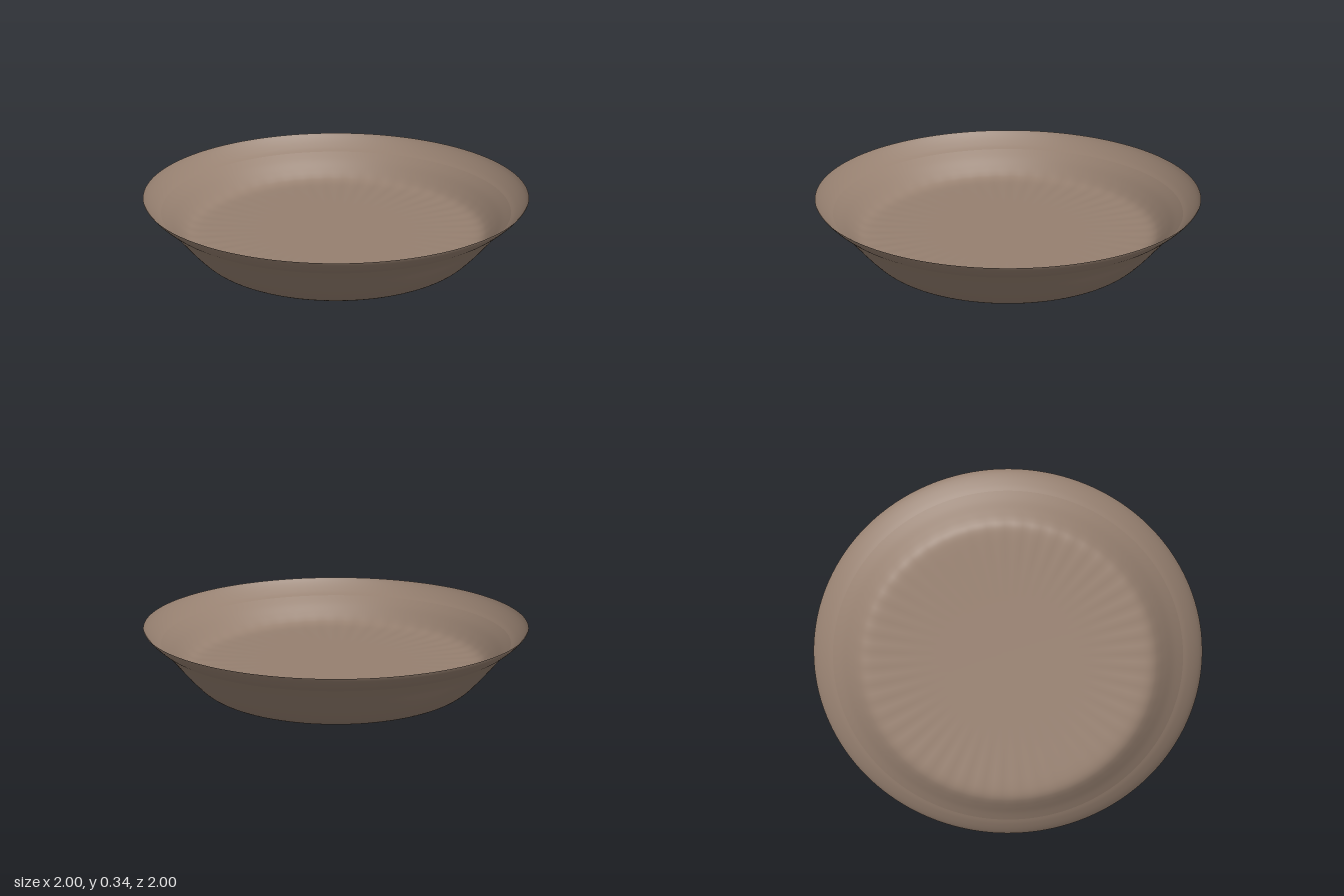
import * as THREE from 'three';
import { mergeVertices } from 'three/addons/utils/BufferGeometryUtils.js';

const SEGMENTS = 192;
const FLUTES = 48;

export function createModel() {
  const group = new THREE.Group();
  group.name = 'dish';
  const clay = new THREE.MeshStandardMaterial({ color: 0x968070, side: THREE.DoubleSide });

  // Revolve a profile of [radius, height] pairs smoothed by a spline
  function revolve(name, profile, samples, shapeRule = null) {
    const points = new THREE.SplineCurve(profile.map(([r, y]) => new THREE.Vector2(r, y))).getPoints(samples);
    points.forEach((p) => p.set(Math.max(p.x, 0), Math.max(p.y, 0)));
    let geometry = new THREE.LatheGeometry(points, SEGMENTS);
    if (shapeRule) {
      const pos = geometry.attributes.position;
      for (let i = 0; i < pos.count; i++) {
        const x = pos.getX(i), z = pos.getZ(i);
        pos.setY(i, pos.getY(i) + shapeRule(Math.hypot(x, z), Math.atan2(z, x)));
      }
      // Weld the seam so the normals stay smooth all round
      geometry.deleteAttribute('normal');
      geometry.deleteAttribute('uv');
      geometry = mergeVertices(geometry, 1e-5);
      geometry.computeVertexNormals();
    }
    const mesh = new THREE.Mesh(geometry, clay);
    mesh.name = name;
    group.add(mesh);
  }

  // Faint radial flutes around the edge of the floor
  const flutes = (r, angle) => {
    const fade = THREE.MathUtils.smoothstep(r, 0.35, 0.74) * (1 - THREE.MathUtils.smoothstep(r, 0.76, 0.84));
    return 0.0015 * fade * Math.cos(FLUTES * angle);
  };

  // Underside and outer wall
  revolve('base', [[0, 0], [0.6, 0]], 1);
  revolve('outerWall', [
    [0.6, 0], [0.645, 0.002], [0.682, 0.013], [0.722, 0.039],
    [0.77, 0.088], [0.82, 0.147], [0.87, 0.208], [0.912, 0.256],
  ], 32);

  // Thin flared rim, steepening towards its edge
  revolve('rim', [[0.912, 0.256], [0.935, 0.273], [0.965, 0.3], [0.988, 0.325], [1, 0.343]], 14);

  // Inner wall curving into the raised, fluted floor
  revolve('innerBowl', [
    [0.912, 0.256], [0.87, 0.218], [0.83, 0.177], [0.8, 0.148], [0.775, 0.13], [0.745, 0.12],
    [0.7, 0.116], [0.62, 0.115], [0.5, 0.115], [0.35, 0.115], [0.15, 0.115], [0, 0.115],
  ], 66, flutes);

  return group;
}
